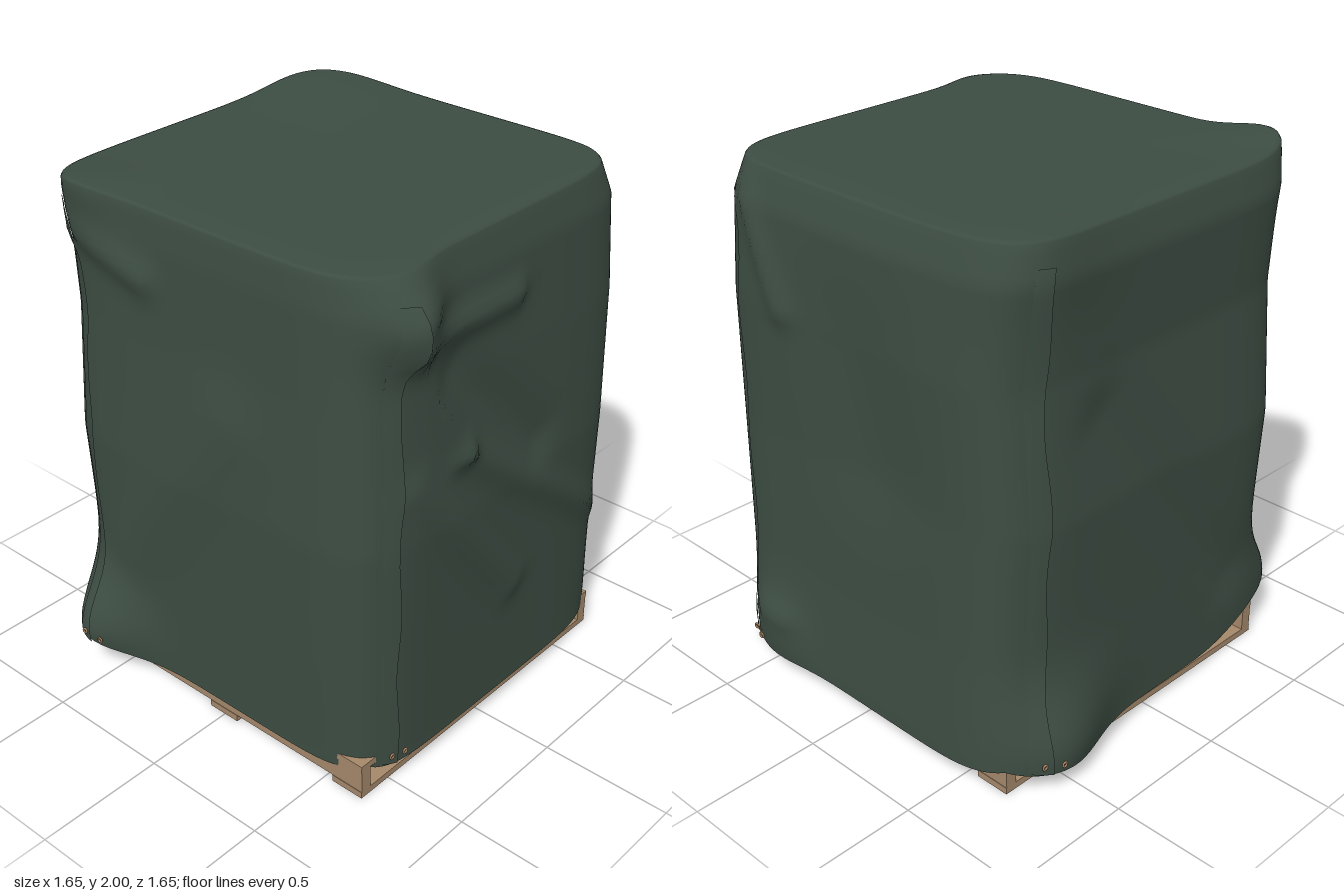
import * as THREE from 'three';

const tarpGreen = new THREE.MeshStandardMaterial({ color: 0x3d4d43, side: THREE.DoubleSide });
tarpGreen.name = 'tarp green';
const wood = new THREE.MeshStandardMaterial({ color: 0xa5886b });
wood.name = 'pallet wood';
const brass = new THREE.MeshStandardMaterial({ color: 0xb08a66 });
brass.name = 'eyelet brass';

const TOP = 1.965;

// Half extents of the cover at rising heights
const heights = [0.1, 0.5, 1.0, 1.5, 1.85, 1.97];
const extents = {
  left: [0.79, 0.775, 0.765, 0.775, 0.76, 0.72],
  right: [0.66, 0.68, 0.7, 0.69, 0.69, 0.68],
  front: [0.71, 0.72, 0.735, 0.72, 0.7, 0.67],
  back: [0.72, 0.73, 0.75, 0.72, 0.74, 0.71],
};
function extent(name, y) {
  const e = extents[name];
  let i = 0;
  while (i < heights.length - 2 && y > heights[i + 1]) i++;
  const f = THREE.MathUtils.clamp((y - heights[i]) / (heights[i + 1] - heights[i]), 0, 1);
  return THREE.MathUtils.lerp(e[i], e[i + 1], f);
}

// Loose corners that stick out: centre, radius, push
const bulges = [
  [-0.5, 1.84, 0.69, 0.14, 0, 0, 0.11],
  [-0.66, 0.18, -0.62, 0.22, -0.17, 0, 0.01],
  [0.5, 0.14, -0.72, 0.22, 0.02, 0, -0.1],
  [0.77, 0.18, 0.42, 0.16, 0.04, 0, 0.01],
  [0.57, 1.97, -0.58, 0.22, 0.01, 0.02, -0.04],
  [-0.64, 1.97, -0.53, 0.14, -0.06, 0.025, -0.02],
].map(([x, y, z, radius, ...push]) =>
  ({ centre: new THREE.Vector3(x, y, z), radius, push: new THREE.Vector3(...push) }));

// Drapes per wall (front, left, back, right): from across, y to across, y, then width, depth
const drapes = [
  [
    [-0.55, 1.8, -0.22, 1.25, 0.05, 0.03],
    [-0.22, 1.25, 0.65, 0.6, 0.05, 0.025],
    [-0.45, 1.2, 0.1, 0.55, 0.07, 0.022],
    [-0.5, 1.72, 0.05, 1.71, 0.05, 0.028],
    [-0.25, 1.55, 0.2, 1.1, 0.09, -0.025],
  ],
  [
    [0.52, 1.9, 0.32, 1.5, 0.05, 0.025],
    [0, 1.45, -0.1, 1.1, 0.22, -0.02],
    [0.5, 0.26, 0.36, 0.26, 0.05, 0.02],
  ],
  [[0.3, 1.3, -0.4, 0.4, 0.12, -0.025]],
  [
    [-0.55, 1.8, -0.25, 1.72, 0.06, 0.03],
    [0.1, 1.3, -0.4, 0.6, 0.15, 0.02],
  ],
];
const normals = [0, 1, 2, 3].map(i =>
  new THREE.Vector3(Math.round(Math.sin(i * Math.PI / 2)), 0, Math.round(Math.cos(i * Math.PI / 2))));

// Point on the cover: u runs 0 to 4 around the walls, t up them, s shrinks to the roof centre
function coverPoint(u, t, s = 1, lift = 0) {
  u = (u + 4) % 4;
  const side = Math.floor(u);
  const k = (u - side) * 2 - 1;
  let [x, z] = [[k, 1], [1, -k], [-k, -1], [-1, k]][side];
  const round = Math.pow(Math.abs(x) ** 7 + Math.abs(z) ** 7, 1 / 7);
  x /= round;
  z /= round;
  const corner = k ** 6;
  const liftedCorner = Math.exp(-((x + 0.9) ** 2 + (z + 0.9) ** 2) / 0.08);
  const hem = 0.077 + 0.025 * corner + 0.09 * liftedCorner;
  const y = THREE.MathUtils.lerp(hem, TOP, t);
  const p = new THREE.Vector3(
    x * s * extent(x > 0 ? 'left' : 'right', y), y + lift,
    z * s * extent(z > 0 ? 'front' : 'back', y));
  const base = p.clone();
  for (const b of bulges)
    p.addScaledVector(b.push, Math.exp(-base.distanceToSquared(b.centre) / b.radius ** 2));
  const flat = new THREE.Vector2(side % 2 ? base.z : base.x, base.y);
  for (const [x1, y1, x2, y2, width, depth] of drapes[side]) {
    const start = new THREE.Vector2(x1, y1);
    const run = new THREE.Vector2(x2 - x1, y2 - y1);
    const f = THREE.MathUtils.clamp(flat.clone().sub(start).dot(run) / run.lengthSq(), 0, 1);
    const d2 = flat.distanceToSquared(start.addScaledVector(run, f));
    p.addScaledVector(normals[side], s ** 20 * (1 - corner) * depth * Math.exp(-d2 / width ** 2));
  }
  return p;
}

// Surface from a grid of points, optionally closed around
function gridGeometry(nu, nv, closed, point) {
  const pos = [], index = [];
  const cols = closed ? nu : nu + 1;
  for (let j = 0; j <= nv; j++)
    for (let i = 0; i < cols; i++) pos.push(...point(i / nu, j).toArray());
  for (let j = 0; j < nv; j++)
    for (let i = 0; i < nu; i++) {
      const a = j * cols + i, b = j * cols + (i + 1) % cols;
      index.push(a, b, b + cols, a, b + cols, a + cols);
    }
  const g = new THREE.BufferGeometry();
  g.setAttribute('position', new THREE.Float32BufferAttribute(pos, 3));
  g.setIndex(index);
  g.computeVertexNormals();
  return g;
}

export function createModel() {
  const model = new THREE.Group();
  model.name = 'coveredPallet';
  const add = (name, geometry, material, parent = model) => {
    const m = new THREE.Mesh(geometry, material);
    m.name = name;
    parent.add(m);
    return m;
  };

  // Cover: walls, rounded rim, roof
  const WALL = 64;
  const roof = [[0.992, 0.008], [0.975, 0.012], [0.85, 0.013], [0.7, 0.013], [0.5, 0.013], [0.25, 0.013], [0, 0.013]];
  add('cover', gridGeometry(176, WALL + roof.length, true, (u, j) =>
    j <= WALL ? coverPoint(u * 4, j / WALL) : coverPoint(u * 4, 1, ...roof[j - WALL - 1])), tarpGreen);

  // Overlapping pleat and two eyelets near one corner of every wall
  normals.forEach((n, side) => {
    const u0 = side + 0.06;
    add('pleat', gridGeometry(3, 40, false, (f, j) => {
      const wobble = 0.006 * Math.sin(j * 0.55 + side);
      return coverPoint(u0 + f * (0.055 + wobble), 0.005 + (j / 40) * 0.96)
        .addScaledVector(n, 0.003 + 0.011 * f);
    }), tarpGreen);
    for (const du of [0.035, 0.085]) {
      const eyelet = add('eyelet', new THREE.TorusGeometry(0.009, 0.004, 6, 12), brass);
      eyelet.position.copy(coverPoint(u0 + du, 0.025)).addScaledVector(n, 0.014);
      eyelet.rotation.y = side * Math.PI / 2;
    }
  });

  // Pallet
  const pallet = new THREE.Group();
  pallet.name = 'pallet';
  pallet.position.set(0.035, 0, -0.005);
  model.add(pallet);
  const board = (name, w, h, d, x, y, z) =>
    add(name, new THREE.BoxGeometry(w, h, d), wood, pallet).position.set(x, y, z);
  for (const x of [-0.653, 0, 0.653]) board('stringer', 0.045, 0.09, 1.35, x, 0.071, 0);
  for (const z of [-0.607, 0, 0.607]) board('bottomBoard', 1.355, 0.026, 0.136, 0, 0.013, z);
  for (let i = 0; i < 9; i++) board('deckBoard', 1.355, 0.026, 0.136, 0, 0.129, -0.607 + i * 0.15175);

  return model;
}
